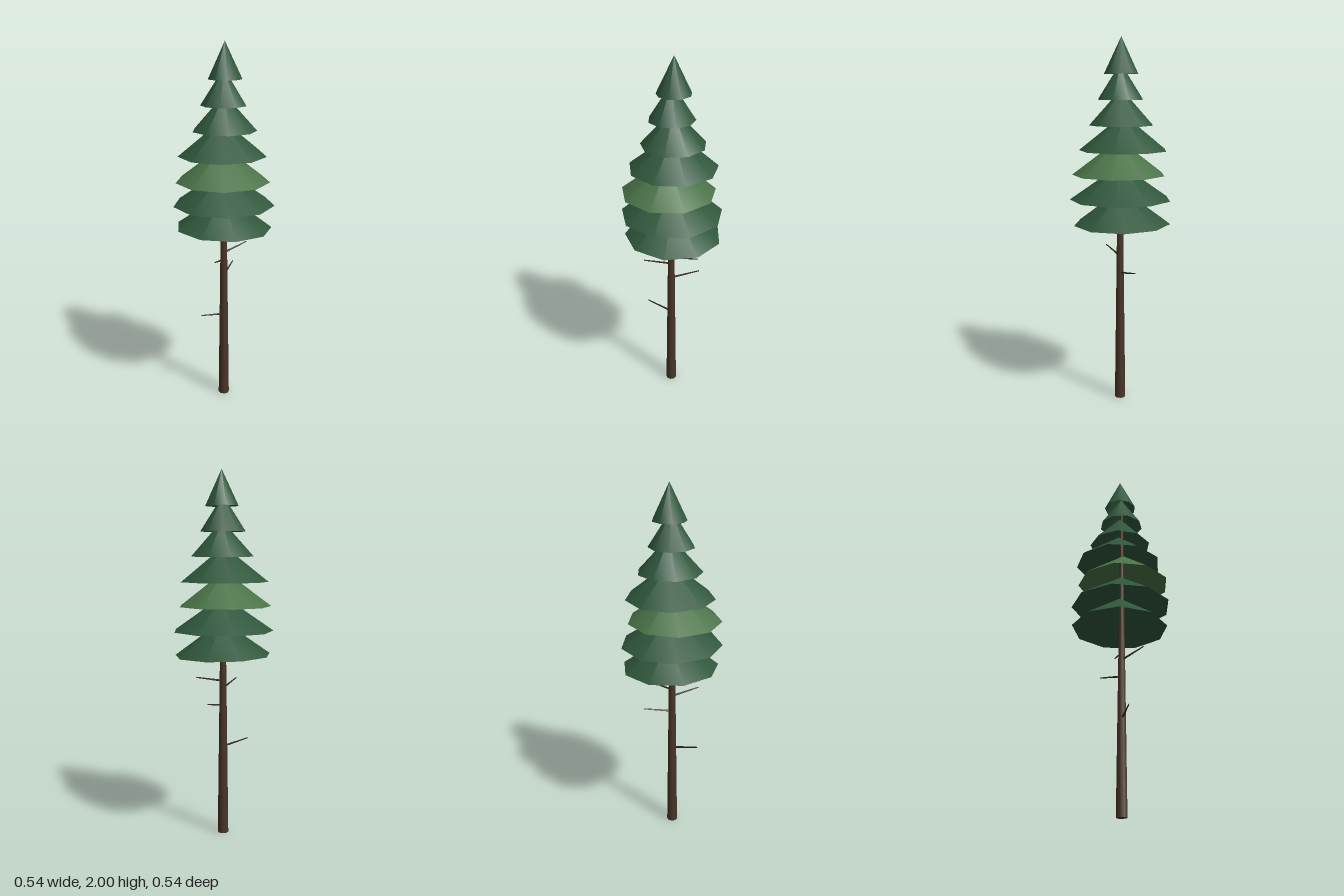
import * as THREE from 'three';

const mat = (name, color, side = THREE.FrontSide) => {
  const m = new THREE.MeshStandardMaterial({ color, side });
  m.name = name;
  return m;
};

export function createModel() {
  const tree = new THREE.Group();
  tree.name = 'pineTree';
  const bark = mat('bark brown', 0x4a3527);
  const twig = mat('dead twig brown', 0x3a2a20);
  const darkGreen = mat('needle green', 0x2f573c, THREE.DoubleSide);
  const lightGreen = mat('light needle green', 0x4a7347, THREE.DoubleSide);

  const add = (name, geometry, material) => {
    const mesh = new THREE.Mesh(geometry, material);
    mesh.name = name;
    tree.add(mesh);
    return mesh;
  };

  // Tapered trunk running up inside the foliage
  add('trunk', new THREE.CylinderGeometry(0.006, 0.03, 1.87, 8), bark).position.y = 0.935;

  // Bare branches: start height on the trunk, then the tip
  const branches = [
    [0.5, -0.13, 0.53, 0.08],
    [0.735, 0.065, 0.767, -0.145],
    [0.83, -0.06, 0.865, 0.14],
    [0.87, 0.135, 0.902, -0.085],
  ];
  branches.forEach(([y, tx, ty, tz], i) => {
    const start = new THREE.Vector3(0, y, 0);
    const dir = new THREE.Vector3(tx, ty, tz).sub(start);
    const length = dir.length();
    const branch = add(`branch${i + 1}`, new THREE.CylinderGeometry(0.003, 0.006, length, 5), twig);
    branch.position.copy(start).addScaledVector(dir, 0.5);
    branch.quaternion.setFromUnitVectors(new THREE.Vector3(0, 1, 0), dir.normalize());
  });

  // Open nine-sided foliage cones: radius, centre x, centre z, turn in degrees
  const tiers = [
    [0.263, 0.002, -0.012, 8],
    [0.275, 0, -0.004, -2],
    [0.253, -0.007, 0.012, -3],
    [0.238, -0.007, -0.017, -6],
    [0.172, 0.004, -0.011, 3],
    [0.122, 0, -0.003, 27],
    [0.091, 0.006, -0.012, 2],
  ];
  const height = 0.19;
  tiers.forEach(([radius, x, z, turn], i) => {
    const cone = new THREE.ConeGeometry(radius, height, 9, 1, true);
    cone.rotateY(THREE.MathUtils.degToRad(turn));
    const tier = add(`foliageTier${i + 1}`, cone, i === 2 ? lightGreen : darkGreen);
    tier.position.set(x, 1.015 + i * 0.1325 + height / 2, z);
    if (i === 0) tier.rotation.z = -0.02;
  });

  return tree;
}
